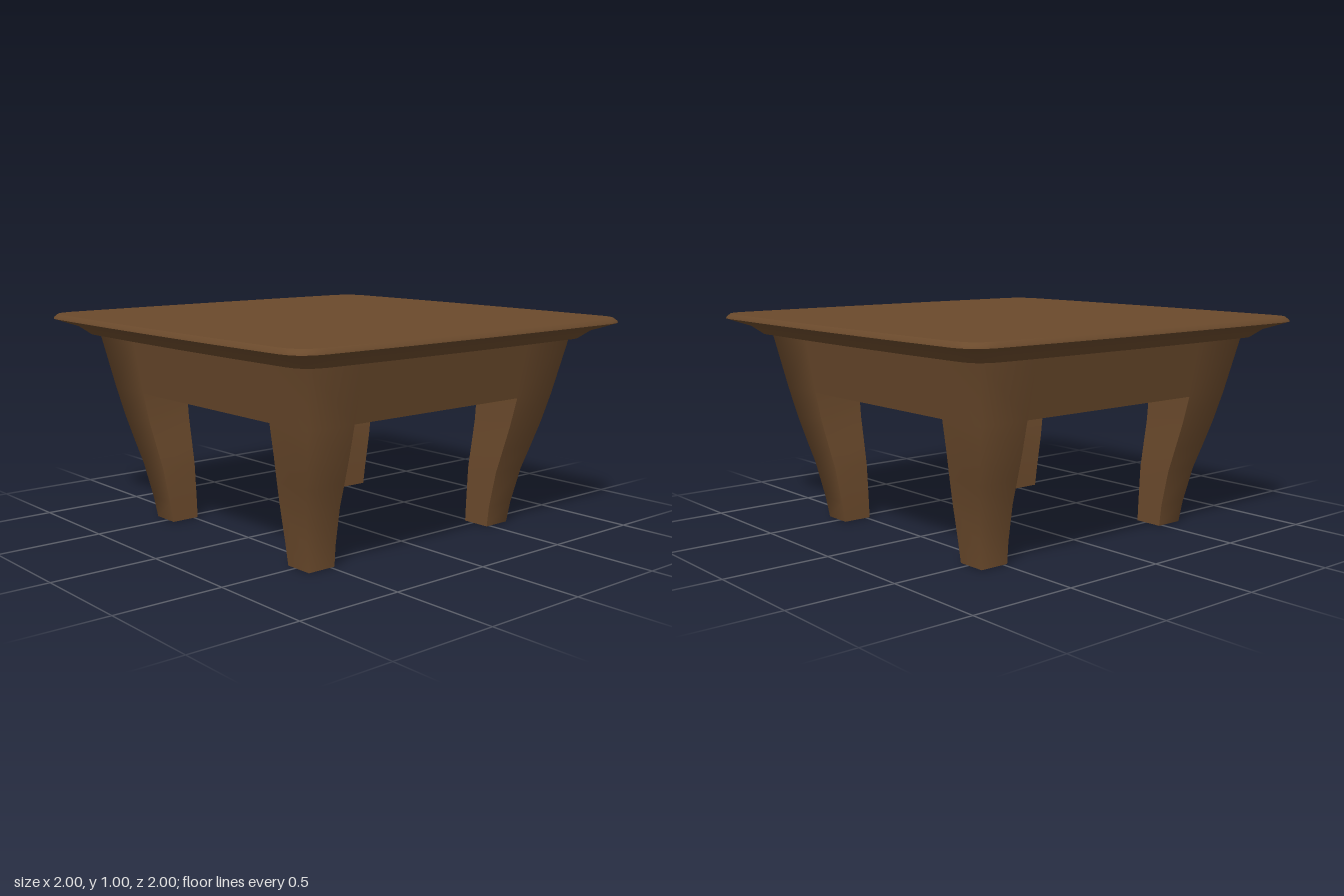
import * as THREE from 'three';
import { toCreasedNormals, mergeGeometries } from 'three/addons/utils/BufferGeometryUtils.js';

const wood = new THREE.MeshStandardMaterial({ color: 0x6b4a2c });
const APRON_Y = 0.64, TOP_Y = 0.905;

// Surface through rows of points, each row running counterclockwise seen from above
function loft(rows, { closed = false, flip = false } = {}) {
  const n = rows[0].length, index = [];
  for (let r = 0; r < rows.length - 1; r++) {
    for (let i = 0; i < (closed ? n : n - 1); i++) {
      const a = r * n + i, b = r * n + (i + 1) % n, c = b + n, d = a + n;
      index.push(...(flip ? [a, c, b, a, d, c] : [a, b, c, a, c, d]));
    }
  }
  const geo = new THREE.BufferGeometry();
  geo.setAttribute('position', new THREE.Float32BufferAttribute(rows.flat(2), 3));
  geo.setIndex(index);
  geo.computeVertexNormals();
  return geo;
}

function part(name, geometry) {
  const mesh = new THREE.Mesh(geometry, wood);
  mesh.name = name;
  return mesh;
}

// Slightly bowed square top with rounded corners and an undercut edge
function tabletop() {
  const quarter = [[0, 1], [0.45, 0.996], [0.86, 0.985], [0.905, 0.977], [0.94, 0.96],
    [0.96, 0.94], [0.977, 0.905], [0.985, 0.86], [0.996, 0.45]];
  const outline = [];
  for (let k = 0, q = quarter; k < 4; k++, q = q.map(([x, z]) => [z, -x])) outline.push(...q);
  const profile = [[0, TOP_Y], [0.865, TOP_Y], [0.885, 0.922], [0.91, 0.943], [0.955, 0.96],
    [1, 0.978], [0.997, 0.986], [0.983, 1], [0, 1]];
  const rows = profile.map(([s, y]) => outline.map(([x, z]) => [x * s, y, z * s]));
  return part('tabletop', toCreasedNormals(loft(rows, { closed: true }), 0.5));
}

// Leg sections: height, outer x, inner x, outer z, inner z
const sections = [
  [0, 0.62, 0.48, 0.59, 0.45], [0.1, 0.636, 0.482, 0.6, 0.452],
  [0.27, 0.667, 0.487, 0.633, 0.456], [0.38, 0.692, 0.491, 0.667, 0.469],
  [0.5, 0.718, 0.496, 0.703, 0.483], [APRON_Y, 0.744, 0.5, 0.739, 0.49],
  [TOP_Y, 0.791, 0.5, 0.795, 0.49],
];

// Curved leg with a soft outer corner and crisp inner edges
function leg(sx, sz) {
  const flip = sx * sz < 0;
  const rows = sections.map(([y, ox, ix, oz, iz]) =>
    [[ix, oz], [ox, oz], [ox, iz], [ix, iz]].map(([x, z]) => [sx * x, y, sz * z]));
  const strip = (...ids) => loft(rows.map(row => ids.map(i => row[i])), { flip });
  const [a, o, b, i] = rows[0];
  const foot = loft([[i, b], [a, o]], { flip });
  const name = (sz > 0 ? 'front' : 'back') + (sx > 0 ? 'Left' : 'Right') + 'Leg';
  return part(name, mergeGeometries([strip(0, 1, 2), strip(2, 3), strip(3, 0), foot]));
}

// Apron rail with a leaning outer face, spanning between two legs
function apron(name, length, outerLow, outerHigh, inner, angle) {
  const shape = new THREE.Shape([[outerLow, APRON_Y], [outerHigh, TOP_Y], [inner, TOP_Y], [inner, APRON_Y]]
    .map(([x, y]) => new THREE.Vector2(x, y)));
  const geo = new THREE.ExtrudeGeometry(shape, { depth: length, bevelEnabled: false });
  geo.translate(0, 0, -length / 2).rotateY(angle);
  return part(name, geo);
}

export function createModel() {
  const model = new THREE.Group();
  model.name = 'table';
  model.add(tabletop());
  for (const sx of [1, -1]) for (const sz of [1, -1]) model.add(leg(sx, sz));
  const [, lowX, inX, lowZ, inZ] = sections[5];
  const [, highX, , highZ] = sections[6];
  model.add(
    apron('leftApron', 2 * inZ, lowX, highX, inX, 0),
    apron('rightApron', 2 * inZ, lowX, highX, inX, Math.PI),
    apron('frontApron', 2 * inX, lowZ, highZ, inZ, -Math.PI / 2),
    apron('backApron', 2 * inX, lowZ, highZ, inZ, Math.PI / 2),
  );
  return model;
}
